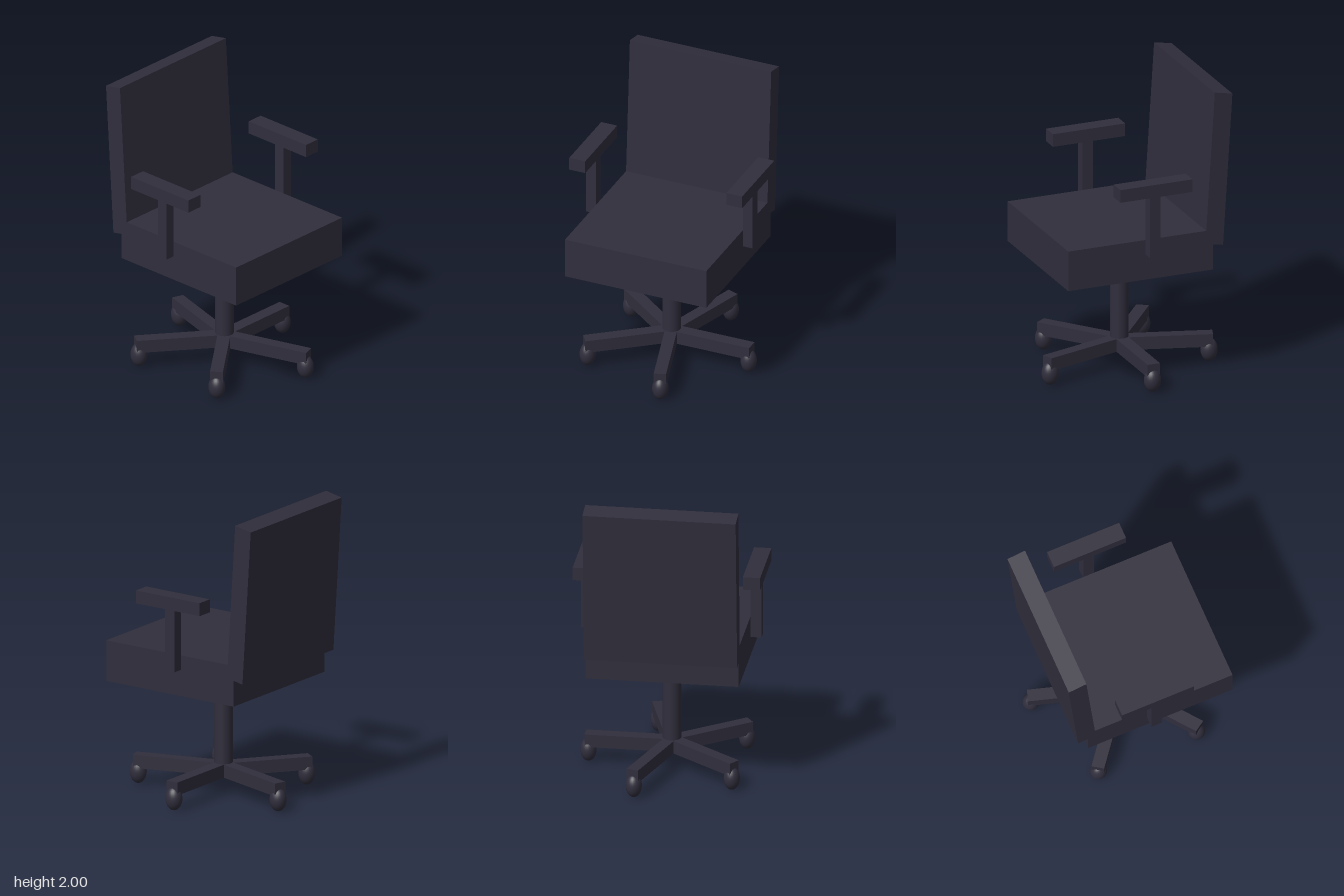
import * as THREE from 'three';

export function createModel() {
  const model = new THREE.Group();
  model.name = 'officeChair';
  const charcoal = new THREE.MeshStandardMaterial({ color: 0x302e3c });
  charcoal.name = 'charcoal';

  const add = (parent, name, geometry, x = 0, y = 0, z = 0) => {
    const mesh = new THREE.Mesh(geometry, charcoal);
    mesh.name = name;
    mesh.position.set(x, y, z);
    parent.add(mesh);
    return mesh;
  };

  // Seat cushion
  add(model, 'seat', new THREE.BoxGeometry(1.01, 0.276, 1.027), 0, 0.907, 0.064);

  // Backrest: a box sheared so it leans back, with sloping top and bottom
  const back = new THREE.BoxGeometry(1.01, 1.045, 0.125);
  back.applyMatrix4(new THREE.Matrix4().set(
    1, 0, 0, 0,
    0, 1, 0.2, 0,
    0, -0.0635, 1, 0,
    0, 0, 0, 1,
  ));
  add(model, 'backrest', back, 0, 1.465, -0.4905);

  // Armrests with their posts
  for (const [side, s] of [['left', 1], ['right', -1]]) {
    const arm = new THREE.Group();
    arm.name = `${side}Arm`;
    add(arm, 'armPad', new THREE.BoxGeometry(0.114, 0.088, 0.512), s * 0.561, 1.421, 0);
    add(arm, 'armPost', new THREE.BoxGeometry(0.071, 0.426, 0.076), s * 0.56, 1.166, 0);
    model.add(arm);
  }

  // Central column
  add(model, 'column', new THREE.CylinderGeometry(0.061, 0.061, 0.64, 32), 0, 0.46, 0);

  // Five-legged base, slightly longer front to back
  const base = new THREE.Group();
  base.name = 'base';
  base.scale.z = 1.077;
  const legGeometry = new THREE.BoxGeometry(0.572, 0.088, 0.081);
  const casterGeometry = new THREE.SphereGeometry(0.053, 24, 16).scale(1, 1.5, 1);
  for (let i = 0; i < 5; i++) {
    const spoke = new THREE.Group();
    spoke.name = 'spoke';
    spoke.rotation.y = (i / 5) * Math.PI * 2;
    add(spoke, 'leg', legGeometry, 0.286, 0.155, 0);
    add(spoke, 'caster', casterGeometry, 0.55, 0.08, 0);
    base.add(spoke);
  }
  model.add(base);

  return model;
}
